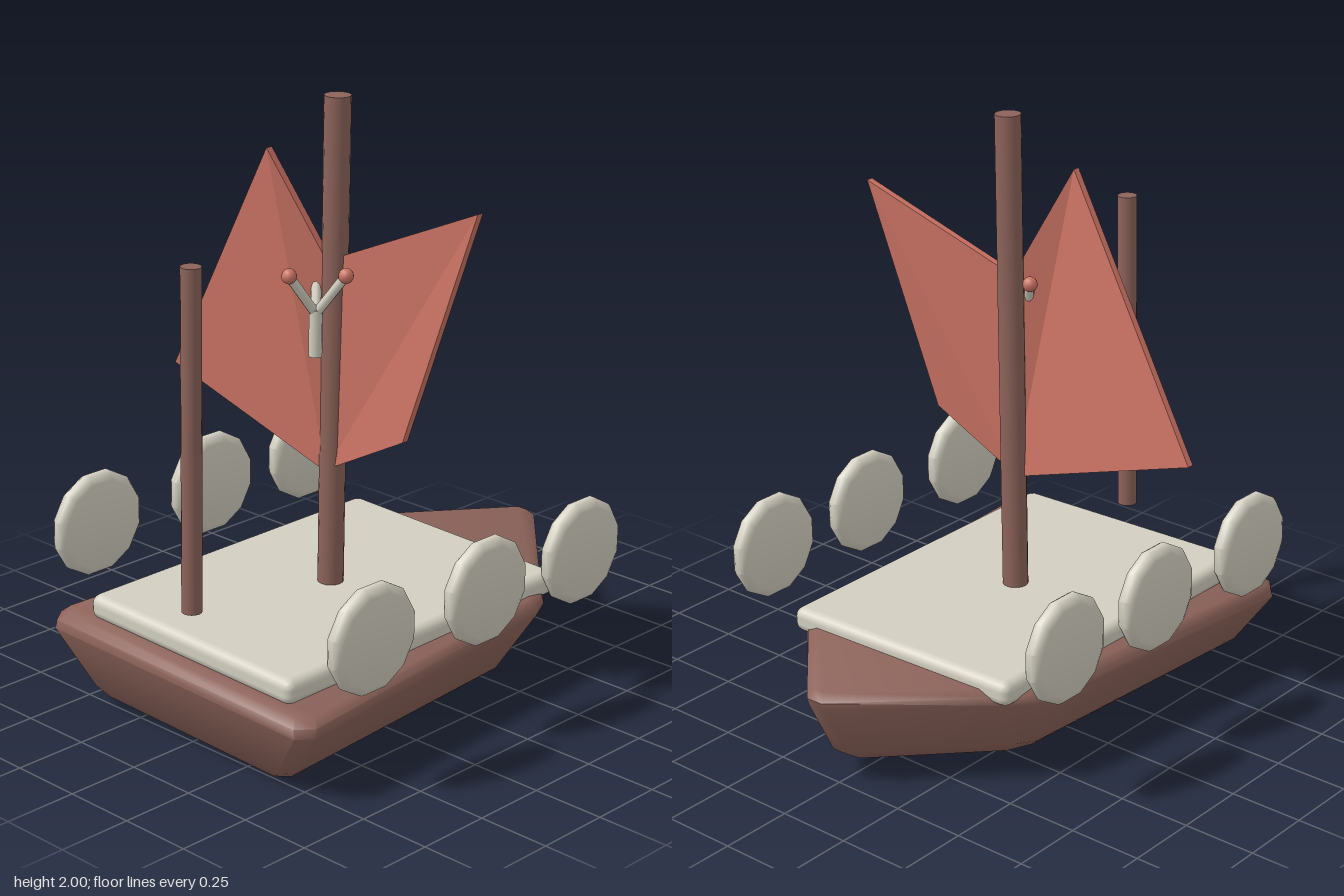
import * as THREE from 'three';
import { toCreasedNormals } from 'three/addons/utils/BufferGeometryUtils.js';
import { RoundedBoxGeometry } from 'three/addons/geometries/RoundedBoxGeometry.js';

const mat = (name, color) => {
  const m = new THREE.MeshStandardMaterial({ color });
  m.name = name;
  return m;
};

// Closed solid from mirrored half rings, listed bottom to top
function loft(halfRings) {
  const n = halfRings[0].length, N = 2 * n;
  const pos = [], idx = [];
  for (const half of halfRings) {
    const left = half.map(([x, y, z]) => [-x, y, z]).reverse();
    pos.push(...half.flat(), ...left.flat());
  }
  for (let k = 0; k < halfRings.length - 1; k++) {
    for (let i = 0; i < N; i++) {
      const a = k * N + i, b = k * N + (i + 1) % N;
      idx.push(a, a + N, b + N, a, b + N, b);
    }
  }
  const top = (halfRings.length - 1) * N;
  for (let i = 0; i < n - 1; i++) {
    const r = i, s = i + 1, l = N - 1 - i, m = N - 2 - i;
    idx.push(top + l, top + m, top + s, top + l, top + s, top + r);
    idx.push(l, s, m, l, r, s);
  }
  const g = new THREE.BufferGeometry();
  g.setAttribute('position', new THREE.Float32BufferAttribute(pos, 3));
  g.setIndex(idx);
  return g;
}

// Thin four-cornered plate, corners anticlockwise from the front
function plate(corners, t) {
  const pos = [];
  for (const dz of [t / 2, -t / 2]) for (const [x, y, z] of corners) pos.push(x, y, z + dz);
  const idx = [0, 1, 2, 0, 2, 3, 4, 6, 5, 4, 7, 6];
  for (let i = 0; i < 4; i++) {
    const j = (i + 1) % 4;
    idx.push(i, i + 4, j + 4, i, j + 4, j);
  }
  const g = new THREE.BufferGeometry();
  g.setAttribute('position', new THREE.Float32BufferAttribute(pos, 3));
  g.setIndex(idx);
  const flat = g.toNonIndexed();
  flat.computeVertexNormals();
  return flat;
}

// Round bar between two points
function bar(a, b, radius, sides) {
  const p = new THREE.Vector3(...a), q = new THREE.Vector3(...b);
  const d = q.clone().sub(p);
  const g = new THREE.CylinderGeometry(radius, radius, d.length(), sides);
  g.applyQuaternion(new THREE.Quaternion().setFromUnitVectors(new THREE.Vector3(0, 1, 0), d.normalize()));
  const c = p.add(q).multiplyScalar(0.5);
  return g.translate(c.x, c.y, c.z);
}

export function createModel() {
  const brown = mat('brown wood', 0x8c635a);
  const cream = mat('cream', 0xd2cec0);
  const red = mat('coral red', 0xcb7364);

  const model = new THREE.Group();
  model.name = 'sailingBoat';
  // The whole boat heels slightly to its left
  const boat = new THREE.Group();
  boat.name = 'heeledBoat';
  boat.rotation.z = -0.024;
  model.add(boat);

  const add = (name, geometry, material, parent = boat) => {
    const m = new THREE.Mesh(geometry, material);
    m.name = name;
    parent.add(m);
    return m;
  };

  // Hull: half rings run from the bow (-z) to the stern (+z)
  const hull = loft([
    [[0.02, 0.055, -0.58], [0.25, 0.025, -0.27], [0.27, 0.02, -0.2], [0.33, 0.011, 0.68], [0.31, 0.011, 0.71]],
    [[0.03, 0.07, -0.68], [0.33, 0.04, -0.31], [0.36, 0.035, -0.22], [0.42, 0.03, 0.73], [0.38, 0.03, 0.765]],
    [[0.03, 0.11, -0.74], [0.37, 0.08, -0.32], [0.4, 0.07, -0.24], [0.465, 0.065, 0.75], [0.42, 0.065, 0.79]],
    [[0.03, 0.31, -0.84], [0.47, 0.28, -0.39], [0.5, 0.27, -0.32], [0.59, 0.245, 0.8], [0.55, 0.245, 0.848]],
    [[0.03, 0.335, -0.848], [0.465, 0.307, -0.385], [0.497, 0.3, -0.31], [0.588, 0.275, 0.79], [0.545, 0.275, 0.845]],
    [[0.02, 0.358, -0.82], [0.44, 0.325, -0.37], [0.47, 0.32, -0.3], [0.56, 0.3, 0.77], [0.52, 0.297, 0.815]],
  ]);
  add('hull', toCreasedNormals(hull, 0.95), brown);

  // Deck slab
  add('deck', new RoundedBoxGeometry(0.92, 0.085, 1.245, 2, 0.032), cream).position.set(0, 0.332, 0.158);

  // Masts
  add('mainMast', bar([0, 0.3, 0.138], [0, 2, 0.138], 0.043, 16), brown);
  add('sternMast', bar([0, 0.455, 0.753], [0, 1.578, 0.753], 0.033, 16), brown);

  // Sails
  add('rightSail', plate([[-0.174, 1.822, 0.262], [-0.694, 0.964, 0.175], [0, 0.76, 0.152], [0, 1.45, 0.15]], 0.024), red);
  add('leftSail', plate([[0.519, 1.713, 0.048], [0, 1.475, 0.14], [0, 0.77, 0.152], [0.313, 0.943, 0.135]], 0.024), red);

  // Round shields, three on each side
  const shieldProfile = [
    [0, -0.031], [0.152, -0.031], [0.17, -0.023], [0.18, -0.008],
    [0.18, 0.008], [0.17, 0.023], [0.152, 0.031], [0, 0.031],
  ].map(([x, y]) => new THREE.Vector2(x, y));
  const shield = toCreasedNormals(
    new THREE.LatheGeometry(shieldProfile, 12).rotateY(Math.PI / 12).rotateZ(Math.PI / 2), 0.7);
  for (const side of [1, -1]) {
    [0.6, 0.088, -0.373].forEach((z, i) => {
      add(`${side > 0 ? 'left' : 'right'}Shield${i + 1}`, shield, cream).position.set(side * 0.625, 0.524, z);
    });
  }

  // Three-pronged ornament with ball tips in front of the main mast
  const fork = new THREE.Group();
  fork.name = 'ornament';
  boat.add(fork);
  const joint = [0, 1.31, 0.222];
  add('ornamentStem', bar([0, 1.17, 0.222], [0, 1.325, 0.222], 0.022, 10), cream, fork);
  for (const tip of [[0.095, 1.449, 0.187], [-0.075, 1.447, 0.145], [-0.022, 1.449, 0.32]]) {
    add('ornamentBranch', bar(joint, tip, 0.016, 8), cream, fork);
    add('ornamentBall', new THREE.SphereGeometry(0.025, 12, 8), red, fork).position.set(...tip);
  }

  return model;
}
